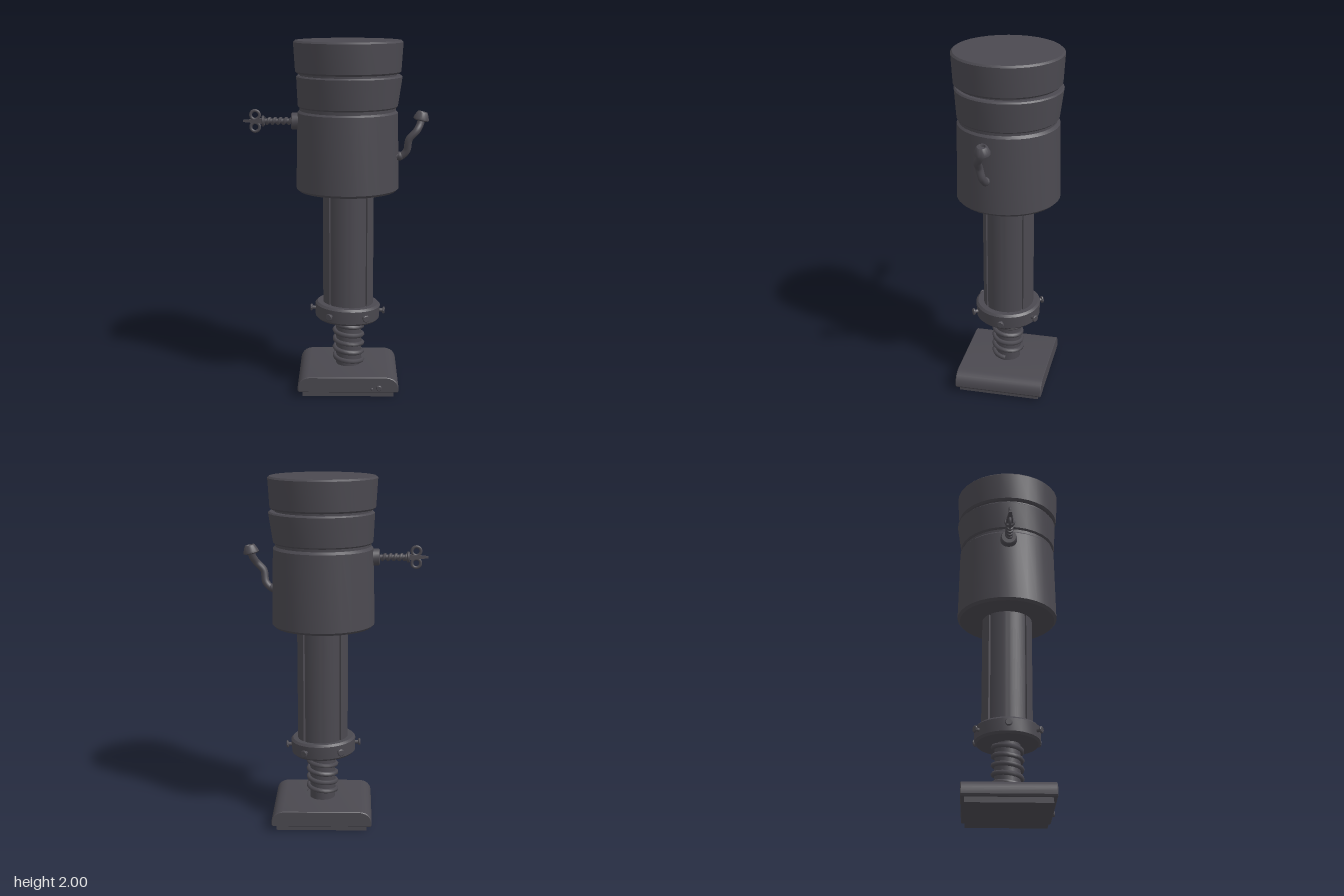
import * as THREE from 'three';
import { toCreasedNormals } from 'three/addons/utils/BufferGeometryUtils.js';

const metal = new THREE.MeshStandardMaterial({ color: 0x4b4950 });
const CX = 0.065; // the column axis sits left of the centre

class Helix extends THREE.Curve {
  constructor(radius, length, turns) {
    super();
    Object.assign(this, { radius, length, turns });
  }
  getPoint(t, target = new THREE.Vector3()) {
    const a = t * this.turns * Math.PI * 2;
    return target.set(Math.cos(a) * this.radius, t * this.length, Math.sin(a) * this.radius);
  }
}

function add(parent, name, geometry, x = 0, y = 0, z = 0) {
  const mesh = new THREE.Mesh(geometry, metal);
  mesh.name = name;
  mesh.position.set(x, y, z);
  parent.add(mesh);
  return mesh;
}

function lathe(points, segments = 32) {
  const g = new THREE.LatheGeometry(points.map(p => new THREE.Vector2(p[0], p[1])), segments);
  return toCreasedNormals(g, 0.6);
}

// Closed drum with softened rims
function drum(r0, r1, y0, y1, c = 0.012, segments = 32) {
  return lathe([[0, y0], [r0 - c, y0], [r0, y0 + c], [r1, y1 - c], [r1 - c, y1], [0, y1]], segments);
}

// Curved column panel: an annular sector extruded upwards
function panel(rIn, rOut, angle, height) {
  const s = new THREE.Shape();
  s.absarc(0, 0, rOut, -angle / 2, angle / 2, false);
  s.absarc(0, 0, rIn, angle / 2, -angle / 2, true);
  const g = new THREE.ExtrudeGeometry(s, { depth: height, bevelEnabled: false, curveSegments: 12 });
  g.rotateX(-Math.PI / 2);
  return toCreasedNormals(g, 0.6);
}

function buildFoot(root) {
  const foot = new THREE.Group();
  foot.name = 'foot';
  root.add(foot);
  add(foot, 'sole', new THREE.BoxGeometry(0.52, 0.04, 0.466), 0.07, 0.02, 0);

  // Slab rounded along its two side edges
  const s = new THREE.Shape();
  s.moveTo(-0.21, 0.03);
  s.lineTo(0.35, 0.03);
  s.lineTo(0.357, 0.04);
  s.lineTo(0.357, 0.06);
  s.quadraticCurveTo(0.35, 0.112, 0.29, 0.12);
  s.lineTo(-0.155, 0.12);
  s.quadraticCurveTo(-0.21, 0.112, -0.218, 0.06);
  s.lineTo(-0.218, 0.04);
  const slab = new THREE.ExtrudeGeometry(s, {
    depth: 0.5, bevelThickness: 0.004, bevelSize: 0.004, bevelOffset: -0.004, bevelSegments: 1, curveSegments: 6,
  });
  slab.translate(0, 0, -0.25);
  add(foot, 'footSlab', toCreasedNormals(slab, 0.6));

  [[0.245, 0.06, 0.016], [0.205, 0.052, 0.008]].forEach(([x, y, r]) => {
    add(foot, 'footKnob', drum(r, r, -0.01, r, 0.003, 10), x, y, 0.254).rotation.x = Math.PI / 2;
  });
}

function buildLeg(root) {
  const leg = new THREE.Group();
  leg.name = 'leg';
  leg.position.x = CX;
  root.add(leg);

  add(leg, 'shaft', new THREE.CylinderGeometry(0.073, 0.073, 0.36, 20), 0.006, 0.28, 0);
  const coil = new THREE.TubeGeometry(new Helix(0.08, 0.25, 4.8), 120, 0.014, 6);
  add(leg, 'spring', coil, 0.006, 0.14, 0);

  // Slightly tilted collar with six bolts
  const collar = new THREE.Group();
  collar.name = 'collar';
  collar.position.y = 0.45;
  collar.rotation.z = -0.04;
  leg.add(collar);
  add(collar, 'collarRing', drum(0.185, 0.188, -0.05, 0.047));
  for (let i = 0; i < 6; i++) {
    const bolt = new THREE.Group();
    bolt.name = 'bolt';
    bolt.rotation.y = i * Math.PI / 3;
    collar.add(bolt);
    const stem = add(bolt, 'boltStem', new THREE.CylinderGeometry(0.011, 0.011, 0.03, 8), 0.195, 0, 0);
    const head = add(bolt, 'boltHead', drum(0.021, 0.021, 0, 0.013, 0.004, 10), 0.204, 0, 0);
    stem.rotation.z = head.rotation.z = -Math.PI / 2;
  }

  // Column core wrapped by four panels with narrow seams between
  add(leg, 'columnCore', new THREE.CylinderGeometry(0.134, 0.134, 0.72, 32), 0.003, 0.83, 0);
  for (let i = 0; i < 4; i++) {
    const p = add(leg, 'columnPanel', panel(0.125, 0.145, Math.PI / 2 - 0.1, 0.7), 0.003, 0.48, -0.003);
    p.rotation.y = i * Math.PI / 2;
  }
}

function buildCup(root) {
  const cup = new THREE.Group();
  cup.name = 'cup';
  cup.position.x = CX - 0.002;
  root.add(cup);
  add(cup, 'cupBody', drum(0.291, 0.282, 1.16, 1.615, 0.014), 0, 0, -0.003);
  add(cup, 'cupCore', new THREE.CylinderGeometry(0.272, 0.268, 0.4, 32), 0, 1.72, 0);

  // Middle band leans gently towards the left and back
  const band = drum(0.281, 0.297, 1.63, 1.808, 0.008);
  const pos = band.attributes.position;
  for (let i = 0; i < pos.count; i++) {
    const t = (pos.getY(i) - 1.63) / 0.178;
    pos.setX(i, pos.getX(i) + 0.009 * t);
    pos.setZ(i, pos.getZ(i) - 0.008 * t);
  }
  add(cup, 'middleBand', band);
  add(cup, 'topBand', drum(0.296, 0.306, 1.82, 2.0, 0.01), 0.002, 0, 0);
}

function buildScrew(root) {
  // Local +y points out of the model's right side
  const screw = new THREE.Group();
  screw.name = 'wingScrew';
  screw.position.set(-0.21, 1.55, -0.003);
  screw.rotation.z = Math.PI / 2;
  root.add(screw);
  add(screw, 'washer', drum(0.05, 0.047, -0.02, 0.045, 0.006, 20));
  add(screw, 'screwShaft', new THREE.CylinderGeometry(0.015, 0.015, 0.2, 10), 0, 0.11, 0);
  add(screw, 'screwThread', new THREE.TubeGeometry(new Helix(0.015, 0.155, 5), 80, 0.009, 6), 0, 0.042, 0);
  add(screw, 'screwDisc', drum(0.031, 0.031, 0.195, 0.211, 0.004, 14));
  const key = new THREE.CylinderGeometry(0.009, 0.024, 0.105, 4);
  key.rotateY(Math.PI / 4);
  key.scale(0.85, 1, 1.2);
  add(screw, 'keyStem', key.toNonIndexed(), 0, 0.2625, 0).geometry.computeVertexNormals();
  for (const side of [-1, 1]) {
    add(screw, 'keyRing', new THREE.TorusGeometry(0.025, 0.0085, 8, 18), side * 0.034, 0.248, 0);
  }
}

function buildHandle(root) {
  const handle = new THREE.Group();
  handle.name = 'handle';
  root.add(handle);
  const path = new THREE.CatmullRomCurve3([
    [0.33, 1.36, 0.058], [0.365, 1.365, 0.06], [0.393, 1.395, 0.067], [0.405, 1.46, 0.08],
    [0.445, 1.505, 0.078], [0.465, 1.54, 0.06], [0.475, 1.575, 0.047],
  ].map(p => new THREE.Vector3(...p)));
  add(handle, 'handleArm', new THREE.TubeGeometry(path, 36, 0.021, 10));
  add(handle, 'handleRoot', new THREE.SphereGeometry(0.025, 12, 8), 0.355, 1.362, 0.059);

  // Flared cap with a shallow dimple on top
  const cap = add(handle, 'handleCap', lathe([
    [0, -0.024], [0.036, -0.024], [0.044, -0.018], [0.043, -0.008],
    [0.03, 0.022], [0.026, 0.026], [0.02, 0.026], [0.015, 0.014], [0, 0.014],
  ], 18), 0.475, 1.584, 0.045);
  cap.rotation.z = -0.22;
}

export function createModel() {
  const root = new THREE.Group();
  root.name = 'mechanicalLeg';
  buildFoot(root);
  buildLeg(root);
  buildCup(root);
  buildScrew(root);
  buildHandle(root);
  return root;
}
